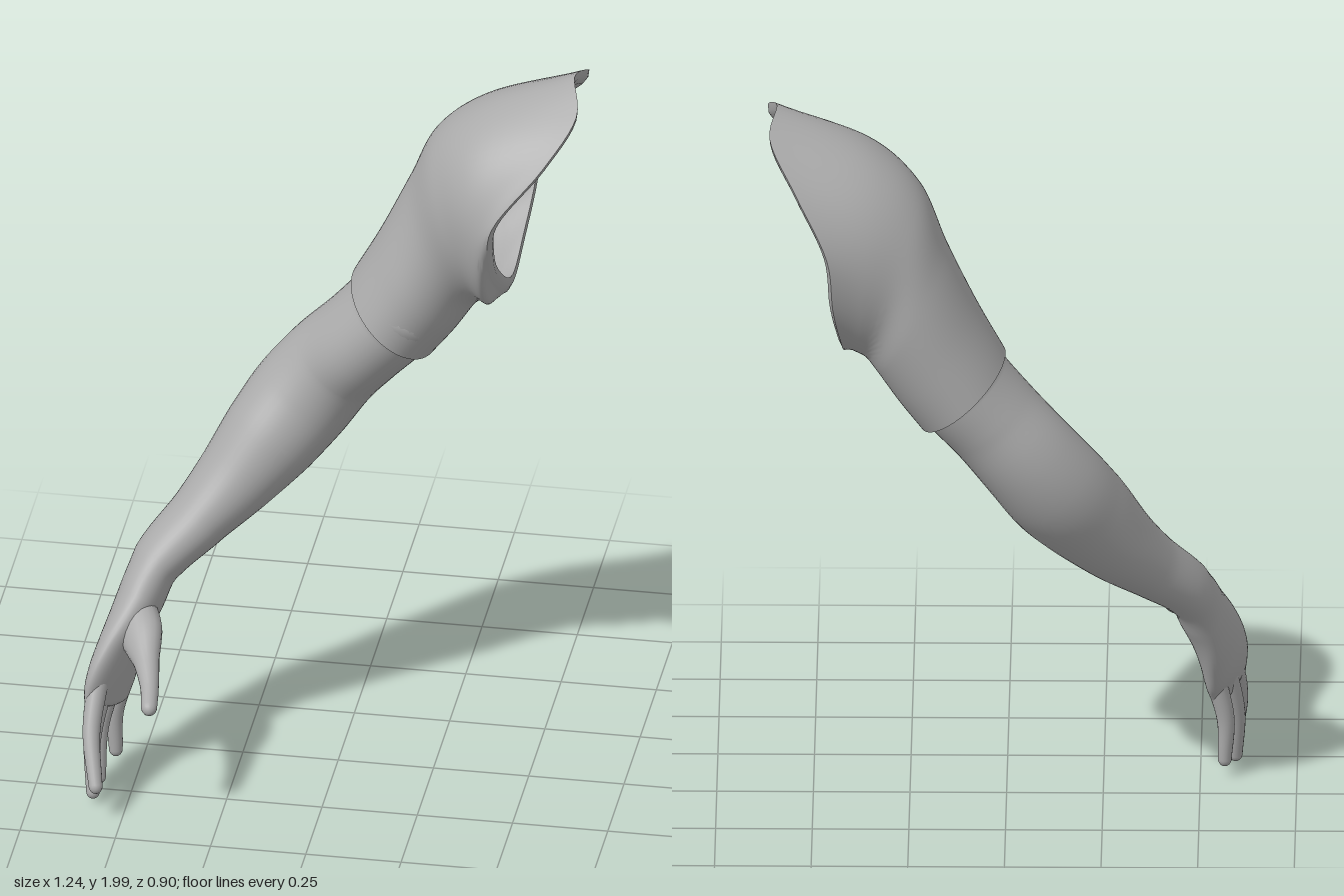
import * as THREE from 'three';
import { toCreasedNormals } from 'three/addons/utils/BufferGeometryUtils.js';

const V = (x, y, z) => new THREE.Vector3(x, y, z);
const grey = new THREE.MeshStandardMaterial({ color: 0xaaaaaa });
grey.name = 'plain grey';

// Skin a list of closed rings with quads
function loft(rings) {
  const n = rings[0].length, index = [];
  for (let i = 0; i < rings.length - 1; i++) {
    for (let j = 0; j < n; j++) {
      const a = i * n + j, b = i * n + (j + 1) % n;
      index.push(a, b, a + n, b, b + n, a + n);
    }
  }
  const geo = new THREE.BufferGeometry().setFromPoints(rings.flat());
  geo.setIndex(index);
  geo.computeVertexNormals();
  return geo;
}

// Elliptical limb through stations [x, y, z, thickness, width, roll] with domed ends
function limb(stations, sides, steps, startCap, endCap) {
  const path = new THREE.CatmullRomCurve3(stations.map(s => V(s[0], s[1], s[2])));
  const size = new THREE.CatmullRomCurve3(stations.map(s => V(s[3], s[4], s[5] || 0)));
  const rings = [];
  const add = (t, scale, shift) => {
    const dir = path.getTangent(t), r = size.getPoint(t);
    const c = path.getPoint(t).addScaledVector(dir, shift);
    const A = V(dir.y, -dir.x, 0).normalize().applyAxisAngle(dir, r.z);
    const B = dir.clone().cross(A);
    rings.push(Array.from({ length: sides }, (_, j) => {
      const q = j / sides * Math.PI * 2;
      return c.clone().addScaledVector(A, Math.cos(q) * r.x * scale)
        .addScaledVector(B, Math.sin(q) * r.y * scale);
    }));
  };
  const capSteps = 6;
  for (let k = capSteps; k > 0; k--) {
    const p = k / capSteps * Math.PI / 2;
    add(0, Math.max(Math.cos(p), 0.001), -Math.sin(p) * startCap);
  }
  for (let i = 0; i <= steps; i++) add(i / steps, 1, 0);
  for (let k = 1; k <= capSteps; k++) {
    const p = k / capSteps * Math.PI / 2;
    add(1, Math.max(Math.cos(p), 0.001), Math.sin(p) * endCap);
  }
  return loft(rings);
}

// Short sleeve: cuff ellipses flowing into a scooped shoulder opening, with inner lining
function sleeveGeometry() {
  const n = 72;
  // upper x, y, lower x, y, back z, front z
  const sections = [
    [0.00, 1.33, 0.22, 1.138, -0.42, -0.03],
    [0.07, 1.46, 0.28, 1.215, -0.42, -0.03],
    [0.15, 1.63, 0.335, 1.295, -0.42, -0.03],
    [0.22, 1.785, 0.365, 1.325, -0.415, 0.015],
    [0.34, 1.89, 0.388, 1.333, -0.43, 0.075],
  ];
  const keys = sections.map(([tx, ty, bx, by, z0, z1]) => {
    const mid = V((tx + bx) / 2, (ty + by) / 2, (z0 + z1) / 2);
    const up = V(tx, ty, mid.z).sub(mid);
    return Array.from({ length: n }, (_, j) => {
      const q = j / n * Math.PI * 2;
      return mid.clone().addScaledVector(up, Math.cos(q))
        .add(V(0, 0, Math.sin(q) * (z1 - z0) / 2));
    });
  });
  // shoulder opening, from the top over the front, bottom and back
  const rim = new THREE.CatmullRomCurve3([
    V(0.592, 2.0, -0.17), V(0.617, 1.95, -0.05), V(0.545, 1.84, 0.045), V(0.42, 1.68, 0.105),
    V(0.403, 1.55, 0.06), V(0.402, 1.42, -0.06), V(0.415, 1.335, -0.20), V(0.427, 1.41, -0.33),
    V(0.445, 1.53, -0.42), V(0.46, 1.68, -0.45), V(0.54, 1.84, -0.40), V(0.61, 1.955, -0.29),
  ], true);
  keys.push(Array.from({ length: n }, (_, j) => rim.getPoint(j / n)));

  const steps = 40, outer = [], inner = [];
  const lines = Array.from({ length: n }, (_, j) => new THREE.CatmullRomCurve3(keys.map(k => k[j])));
  for (let i = 0; i <= steps; i++) {
    const ring = lines.map(l => l.getPoint(i / steps));
    const mid = ring.reduce((s, p) => s.add(p), V(0, 0, 0)).divideScalar(n);
    const k = 0.05 + 0.08 * i / steps;
    outer.push(ring);
    inner.unshift(ring.map(p => p.clone().lerp(mid, k)));
  }
  // slightly swollen hem between the outer and inner rim
  const hem = outer[steps].map((p, j) => p.clone().lerp(inner[0][j], 0.5).add(V(0.006, 0, 0)));
  return toCreasedNormals(loft([...outer, hem, ...inner, outer[0]]), 0.75);
}

export function createModel() {
  const model = new THREE.Group();
  model.name = 'sleevedArm';
  const add = (name, geo) => {
    const mesh = new THREE.Mesh(geo, grey);
    mesh.name = name;
    model.add(mesh);
  };

  add('sleeve', sleeveGeometry());

  // Arm from the hidden shoulder end, over elbow and wrist, into the palm
  add('armAndPalm', limb([
    [0.22, 1.55, -0.185, 0.085, 0.085],
    [0.21, 1.43, -0.205, 0.125, 0.145],
    [0.172, 1.325, -0.22, 0.131, 0.166],
    [0.11, 1.235, -0.22, 0.131, 0.166],
    [0.03, 1.145, -0.225, 0.128, 0.157],
    [-0.055, 1.05, -0.238, 0.133, 0.143],
    [-0.13, 0.955, -0.22, 0.138, 0.138],
    [-0.205, 0.86, -0.168, 0.129, 0.13],
    [-0.29, 0.755, -0.11, 0.105, 0.116],
    [-0.37, 0.67, -0.05, 0.083, 0.104],
    [-0.468, 0.57, 0.025, 0.068, 0.094],
    [-0.505, 0.485, 0.085, 0.062, 0.106, 0.1],
    [-0.542, 0.39, 0.14, 0.052, 0.123, 0.25],
    [-0.565, 0.305, 0.18, 0.042, 0.123, 0.36],
    [-0.574, 0.25, 0.198, 0.03, 0.108, 0.4],
  ], 40, 84, 0.1, 0.025));

  // Thumb with its fleshy base and web
  add('thumb', limb([
    [-0.515, 0.495, 0.10, 0.045, 0.055],
    [-0.483, 0.45, 0.20, 0.06, 0.046],
    [-0.452, 0.413, 0.295, 0.034, 0.03],
    [-0.433, 0.383, 0.365, 0.024, 0.024],
    [-0.424, 0.36, 0.425, 0.021, 0.021],
  ], 20, 28, 0.03, 0.024));

  // Fingers: base and tip centres, gently curved outward
  const fingers = {
    indexFinger: [[-0.588, 0.325, 0.25], [-0.567, 0.103, 0.41]],
    middleFinger: [[-0.582, 0.295, 0.21], [-0.588, 0.04, 0.326]],
    ringFinger: [[-0.567, 0.28, 0.165], [-0.59, 0.025, 0.221]],
    littleFinger: [[-0.54, 0.275, 0.115], [-0.563, 0.053, 0.12]],
  };
  for (const [name, [a, b]] of Object.entries(fingers)) {
    const mid = a.map((v, k) => (v + b[k]) / 2 - (k === 0 ? 0.014 : 0));
    add(name, limb([
      [...a, 0.028, 0.031],
      [...mid, 0.023, 0.024],
      [...b, 0.018, 0.019],
    ], 18, 16, 0.02, 0.02));
  }
  return model;
}
